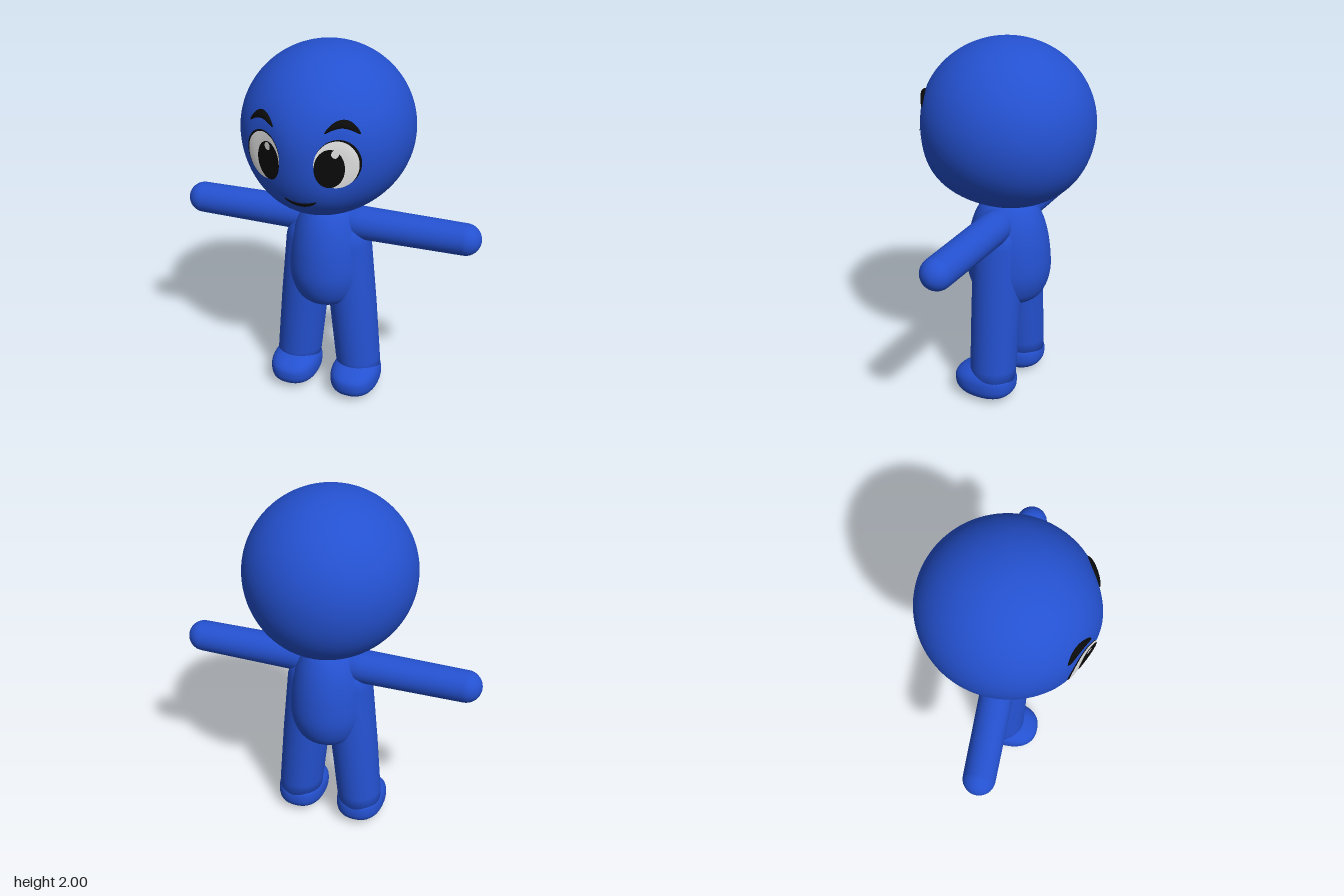
import * as THREE from 'three';
import { mergeVertices } from 'three/addons/utils/BufferGeometryUtils.js';

const blue = new THREE.MeshStandardMaterial({ color: 0x2451d0 });
blue.name = 'blue skin';
const black = new THREE.MeshStandardMaterial({ color: 0x0a0a0a });
black.name = 'black';
const white = new THREE.MeshStandardMaterial({ color: 0xe6e6e6 });
white.name = 'eye white';

const HEAD_Y = 1.56, RX = 0.45, RY = 0.44, RZ = 0.46;

// Fuller jaw at the front, and shallow hollows around the eyes
function headDepth(nz, x, y) {
  const ny = (y - HEAD_Y) / RY;
  const jaw = ny < 0 ? 1 + (nz > 0 ? 0.28 : 0.1) * ny * ny : 1;
  const dx = (Math.abs(x) - 0.18) / 0.085, dy = (y - 1.53) / 0.15;
  const hollow = nz > 0 ? 0.024 * Math.exp(-dx * dx - dy * dy) * Math.min(1, nz * 2) : 0;
  return RZ * nz * jaw - hollow;
}

// Front surface of the head at a given x and y
function faceZ(x, y) {
  const nx = x / RX, ny = (y - HEAD_Y) / RY;
  return headDepth(Math.sqrt(Math.max(0, 1 - nx * nx - ny * ny)), x, y);
}

// Move each vertex by a rule, weld seams and smooth the normals
function reshape(geometry, rule) {
  const p = geometry.attributes.position;
  for (let i = 0; i < p.count; i++) {
    p.setXYZ(i, ...rule(p.getX(i), p.getY(i), p.getZ(i)));
  }
  geometry.deleteAttribute('uv');
  geometry.deleteAttribute('normal');
  const welded = mergeVertices(geometry, 1e-5);
  welded.computeVertexNormals();
  return welded;
}

function lathe(points, segments = 40) {
  return new THREE.LatheGeometry(points.map(([r, y]) => new THREE.Vector2(r, y)), segments);
}

// Smooth closed profile through a few points
function smoothProfile(points, divisions = 36) {
  const curve = new THREE.SplineCurve(points.map(([r, y]) => new THREE.Vector2(r, y)));
  return curve.getPoints(divisions).map(v => [Math.max(0, v.x), v.y]);
}

// Oval lying on the face
function faceOval(cx, cy, rx, ry, lift) {
  return reshape(new THREE.RingGeometry(0, 1, 48, 10), (x, y) => {
    const X = cx + rx * x, Y = cy + ry * y;
    return [X, Y, faceZ(X, Y) + lift];
  });
}

// Tapered stroke bent along the face
function faceStroke(cx, cy, halfWidth, halfHeight, bend, depth, tilt = 0) {
  return reshape(new THREE.SphereGeometry(1, 32, 20), (x, y, z) => {
    const X = cx + halfWidth * x;
    const Y = cy + bend * (1 - x * x) + tilt * x + halfHeight * y;
    return [X, Y, faceZ(X, Y) + depth * z];
  });
}

export function createModel() {
  const model = new THREE.Group();
  model.name = 'figure';
  const add = (name, geometry, material, parent = model) => {
    const mesh = new THREE.Mesh(geometry, material);
    mesh.name = name;
    parent.add(mesh);
    return mesh;
  };

  // Head
  add('head', reshape(new THREE.SphereGeometry(1, 96, 64), (x, y, z) => {
    const X = RX * x, Y = HEAD_Y + RY * y;
    return [X, Y, headDepth(z, X, Y)];
  }), blue);

  // Torso
  const torso = smoothProfile([
    [0, 0.545], [0.09, 0.55], [0.155, 0.575], [0.2, 0.63], [0.228, 0.73], [0.225, 0.85],
    [0.208, 0.96], [0.175, 1.06], [0.12, 1.13], [0, 1.15],
  ]);
  add('torso', reshape(lathe(torso, 48), (x, y, z) => [x * 0.93, y, z * 1.02 - 0.007]), blue);

  // Profiles shared by both sides
  const legProfile = [
    [0, 0.08], [0.122, 0.1], [0.125, 0.2], [0.13, 0.55], [0.13, 0.92], [0.12, 0.98], [0.09, 1.04], [0, 1.08],
  ];
  const armProfile = [[0, 0], [0.09, 0.02], [0.09, 0.2], [0.085, 0.745]];
  for (let i = 1; i <= 10; i++) {
    const a = (i / 10) * Math.PI / 2;
    armProfile.push([0.085 * Math.cos(a), 0.745 + 0.085 * Math.sin(a)]);
  }
  const round = v => Math.sign(v) * Math.pow(Math.abs(v), 0.75);

  for (const s of [1, -1]) {
    const side = s > 0 ? 'left' : 'right';

    // Arm
    const arm = reshape(lathe(armProfile, 32), (x, y, z) => [x, y, z]);
    const armMesh = add(side + 'Arm', arm, blue);
    armMesh.rotation.z = -s * Math.PI / 2;
    armMesh.position.set(0, 1.03, -0.008);

    // Leg, splayed outward toward the foot
    add(side + 'Leg', reshape(lathe(legProfile),
      (x, y, z) => [x + s * (0.194 - 0.095 * y), y, z * 1.04 - 0.002]), blue);

    // Foot, lower at the toe
    add(side + 'Foot', reshape(new THREE.SphereGeometry(1, 40, 28), (x, y, z) => {
      const toe = Math.max(0, z);
      const Y = y > 0 ? round(y) * (1 - 0.25 * toe) : round(y);
      return [s * 0.18 + 0.135 * Math.sign(x) * Math.pow(Math.abs(x), 0.85),
        0.1 + 0.1 * Y, 0.042 + 0.175 * Math.sign(z) * Math.pow(Math.abs(z), 0.85)];
    }), blue);

    // Eye in thin layers
    const eye = new THREE.Group();
    eye.name = side + 'Eye';
    model.add(eye);
    add('eyeOutline', faceOval(s * 0.192, 1.53, 0.104, 0.122, 0.003), black, eye);
    add('eyeWhite', faceOval(s * 0.187, 1.524, 0.1, 0.122, 0.006), white, eye);
    add('pupil', faceOval(s * 0.157, 1.506, 0.068, 0.1, 0.009), black, eye);
    add('eyeHighlight', faceOval(s > 0 ? 0.183 : -0.16, 1.582, 0.017, 0.021, 0.012), white, eye);

    // Eyebrow
    add(side + 'Eyebrow', faceStroke(s * 0.207, 1.678, 0.077, 0.019, 0.045, 0.02, s * -0.004), black);
  }

  // Mouth
  add('mouth', faceStroke(0, 1.313, 0.085, 0.012, -0.027, 0.008), black);

  return model;
}
